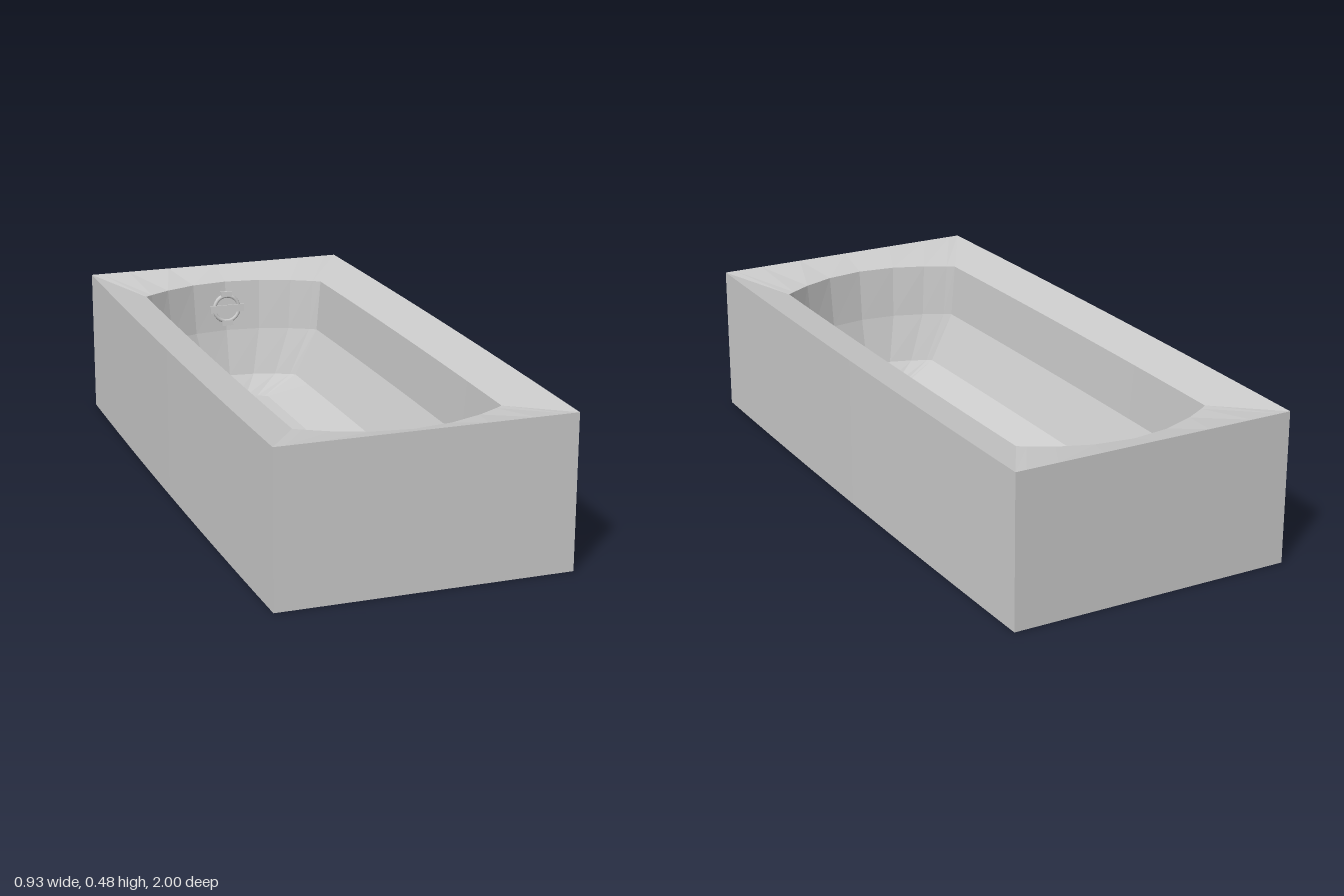
import * as THREE from 'three';

const SIDE = 12; // segments along each long side
const END = 8;   // segments across each end

// Closed loop: two slightly bowed long sides joined by two arched ends
function ring({ w, l, y, arch = 0, bow = 0 }) {
  const half = [];
  for (let i = 0; i < SIDE; i++) {
    const t = 1 - (2 * i) / SIDE;
    half.push([w + bow * (1 - t * t), l * t]);
  }
  for (let k = 0; k < END; k++) {
    const c = Math.cos((Math.PI * k) / END);
    half.push([w * c, -l - arch * (1 - c * c)]);
  }
  return [...half, ...half.map(([x, z]) => [-x, -z])].map(([x, z]) => [x, y, z]);
}

// Skin between successive loops; optionally close the last loop with a fan
function loft(rings, closeEnd) {
  const n = rings[0].length;
  const position = rings.flat(2);
  const index = [];
  for (let r = 0; r < rings.length - 1; r++) {
    for (let i = 0; i < n; i++) {
      const j = (i + 1) % n;
      const a = r * n + i, b = r * n + j;
      index.push(a, b, b + n, a, b + n, a + n);
    }
  }
  if (closeEnd) {
    const base = (rings.length - 1) * n;
    position.push(0, rings.at(-1)[0][1], 0);
    for (let i = 0; i < n; i++) index.push(base + i, base + ((i + 1) % n), rings.length * n);
  }
  const g = new THREE.BufferGeometry();
  g.setAttribute('position', new THREE.Float32BufferAttribute(position, 3));
  g.setIndex(index);
  const flat = g.toNonIndexed();
  flat.computeVertexNormals();
  return flat;
}

export function createModel() {
  const model = new THREE.Group();
  model.name = 'bathtub';
  const shell = new THREE.MeshStandardMaterial({ color: 0xcccccc, flatShading: true, side: THREE.DoubleSide });
  const metal = new THREE.MeshStandardMaterial({ color: 0xcccccc });

  const add = (parent, name, geometry, material, x = 0, y = 0, z = 0) => {
    const mesh = new THREE.Mesh(geometry, material);
    mesh.name = name;
    mesh.position.set(x, y, z);
    parent.add(mesh);
    return mesh;
  };

  // Outer panels, open underneath
  const foot = ring({ w: 0.455, l: 1, y: 0, bow: 0.01 });
  const top = ring({ w: 0.455, l: 1, y: 0.48, bow: 0.01 });
  add(model, 'outerPanels', loft([foot, top]), shell);

  // Rim sloping gently down to the opening
  const opening = ring({ w: 0.32, l: 0.77, y: 0.445, arch: 0.113, bow: 0.007 });
  add(model, 'rim', loft([top, opening]), shell);

  // Basin walls and floor
  const basin = [
    opening,
    ring({ w: 0.305, l: 0.77, y: 0.27, arch: 0.1, bow: 0.006 }),
    ring({ w: 0.225, l: 0.77, y: 0.11, arch: 0.068, bow: 0.004 }),
    ring({ w: 0.12, l: 0.77, y: 0.04, arch: 0.03, bow: 0.003 }),
  ];
  add(model, 'basin', loft(basin, true), shell);

  // Drain: collar, dished plate and grate spokes
  const drain = new THREE.Group();
  drain.name = 'drain';
  drain.position.set(0, 0.04, -0.67);
  model.add(drain);
  add(drain, 'drainCup', new THREE.CylinderGeometry(0.038, 0.026, 0.018, 20), metal, 0, -0.006, 0);
  add(drain, 'drainCollar', new THREE.TorusGeometry(0.037, 0.006, 8, 24), metal, 0, 0.003, 0).rotation.x = Math.PI / 2;
  for (let i = 0; i < 4; i++) {
    add(drain, 'drainSpoke', new THREE.BoxGeometry(0.07, 0.004, 0.005), metal, 0, 0.005, 0).rotation.y = (i * Math.PI) / 4;
  }

  // Overflow plate on the back wall, with a cross bar and two tabs
  const overflow = new THREE.Group();
  overflow.name = 'overflow';
  overflow.position.set(0, 0.35, -0.872);
  overflow.rotation.x = -0.09;
  model.add(overflow);
  add(overflow, 'overflowPlate', new THREE.CylinderGeometry(0.048, 0.055, 0.014, 24), metal).rotation.x = Math.PI / 2;
  add(overflow, 'overflowRing', new THREE.TorusGeometry(0.045, 0.007, 8, 24), metal, 0, 0, 0.005);
  add(overflow, 'overflowBar', new THREE.BoxGeometry(0.124, 0.026, 0.012), metal, 0, 0, 0.009);
  for (const s of [-1, 1]) {
    add(overflow, 'overflowTab', new THREE.BoxGeometry(0.04, 0.018, 0.016), metal, 0, s * 0.052, 0.004);
  }

  return model;
}
